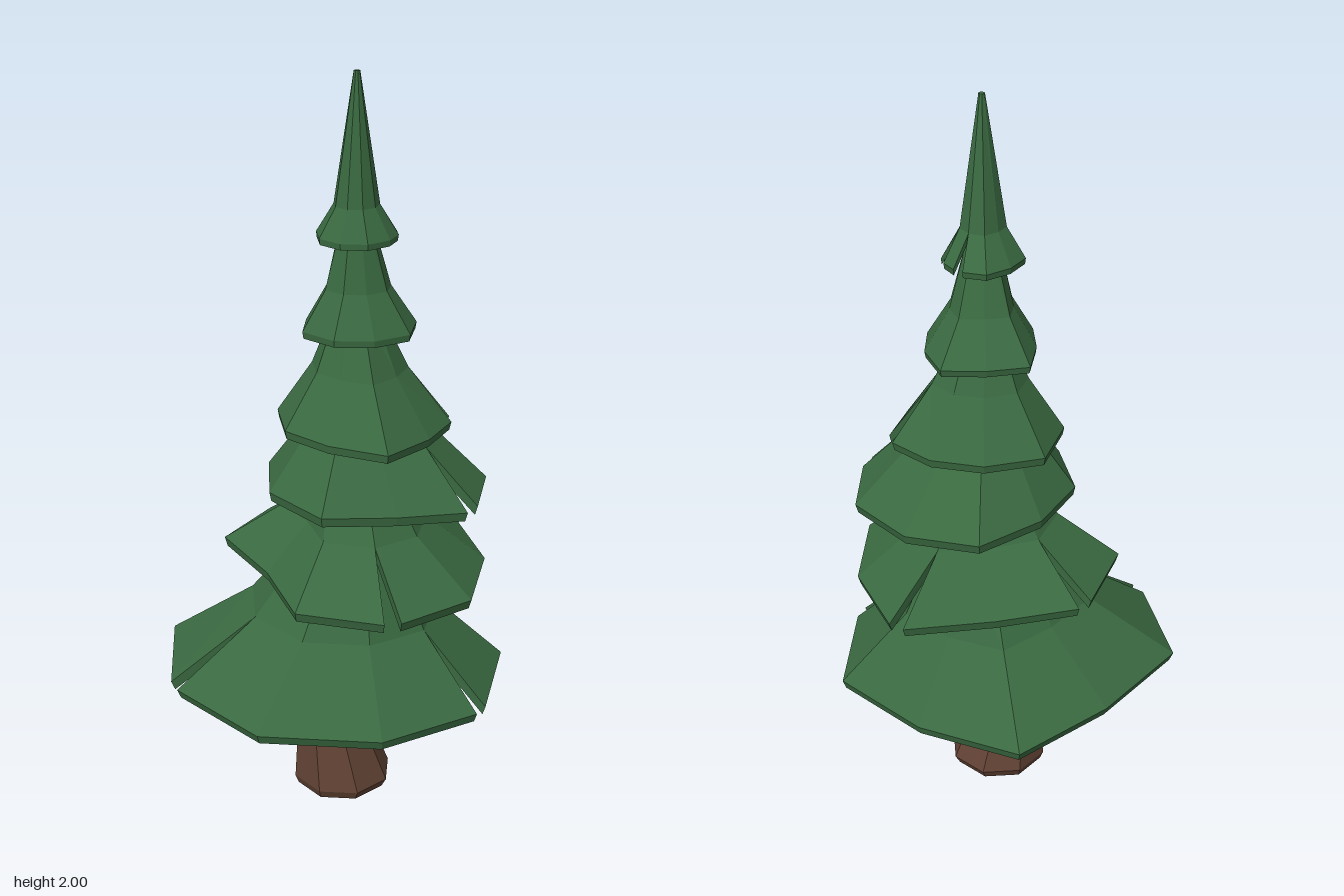
import * as THREE from 'three';

const foliage = new THREE.MeshStandardMaterial({ color: 0x3a6a41 });
foliage.name = 'pine green';
const bark = new THREE.MeshStandardMaterial({ color: 0x624335 });
bark.name = 'bark brown';

const lerp = THREE.MathUtils.lerp;

// Collects triangles and quads into a faceted geometry
function facets() {
  const pos = [];
  const tri = (a, b, c) => pos.push(...a, ...b, ...c);
  return {
    tri,
    quad(a, b, c, d) { tri(a, b, c); tri(a, c, d); },
    build() {
      const g = new THREE.BufferGeometry();
      g.setAttribute('position', new THREE.Float32BufferAttribute(pos, 3));
      g.computeVertexNormals();
      return g;
    },
  };
}

// All bough layers hang from this vertical axis
const axisX = 0.055, axisZ = 0.03;

// A thick, kinked skirt of boughs. Its rim corners are spread evenly round (x, z)
// at the given radii, starting at the back; corners listed in slits are torn open.
function skirt({ x, z, y, tilt, radii, slits, gap, top, topRadius, knee: [f, h], thick }) {
  const cols = [];
  const column = (i, shift, torn) => {
    const angle = i / radii.length * Math.PI * 2;
    const corner = t => [x + Math.sin(t) * radii[i], z - Math.cos(t) * radii[i]];
    const [mx, mz] = corner(angle);
    const [rx, rz] = corner(angle + shift);
    const height = px => y + tilt * px + thick;
    const outer = [
      [rx, height(rx), rz],
      [lerp(axisX, mx, f), lerp(height(mx), top, h), lerp(axisZ, mz, f)],
      [axisX + Math.sin(angle) * topRadius, top, axisZ - Math.cos(angle) * topRadius],
    ];
    const under = outer.map(([px, py, pz], k) => {
      const s = k === 0 ? 0.98 : 0.93;
      return [lerp(axisX, px, s), py - thick, lerp(axisZ, pz, s)];
    });
    cols.push({ outer, under, torn });
  };
  radii.forEach((r, i) => {
    if (slits.includes(i)) {
      column(i, -gap / r / 2, true);
      column(i, gap / r / 2, false);
    } else column(i, 0, false);
  });

  const out = facets();
  const tip = [axisX, top, axisZ], tipUnder = [axisX, top - thick, axisZ];
  cols.forEach(({ outer: a, under: ua, torn }, i) => {
    const { outer: b, under: ub } = cols[(i + 1) % cols.length];
    if (torn) {
      // Cut faces on both sides of the slit
      out.quad(a[0], a[1], ua[1], ua[0]);
      out.quad(b[1], b[0], ub[0], ub[1]);
      return;
    }
    for (let k = 0; k < 2; k++) {
      out.quad(a[k], a[k + 1], b[k + 1], b[k]);
      out.quad(ua[k], ub[k], ub[k + 1], ua[k + 1]);
    }
    out.tri(a[2], tip, b[2]);
    out.tri(ua[2], ub[2], tipUnder);
    out.quad(a[0], b[0], ub[0], ua[0]);
  });
  return out.build();
}

// Leaning eight-sided trunk from rings of [x, y, z, radius]
function trunkGeometry(rings, sides = 8) {
  const pts = rings.map(([x, y, z, r]) => Array.from({ length: sides }, (_, i) => {
    const t = (i + 0.5) / sides * Math.PI * 2;
    return [x + Math.sin(t) * r * 1.04, y, z + Math.cos(t) * r * 1.04];
  }));
  const out = facets();
  const [x, y, z] = rings[0];
  for (let i = 0; i < sides; i++) {
    const j = (i + 1) % sides;
    out.tri([x, y, z], pts[0][j], pts[0][i]);
    for (let k = 0; k < pts.length - 1; k++)
      out.quad(pts[k][i], pts[k][j], pts[k + 1][j], pts[k + 1][i]);
  }
  return out.build();
}

export function createModel() {
  const tree = new THREE.Group();
  tree.name = 'pineTree';
  const add = (name, geometry, material) => {
    const mesh = new THREE.Mesh(geometry, material);
    mesh.name = name;
    tree.add(mesh);
  };

  add('trunk', trunkGeometry([
    [0.02, 0, 0.02, 0.122], [0.022, 0.025, 0.02, 0.133], [-0.015, 0.25, 0.03, 0.083],
    [-0.018, 0.36, 0.035, 0.07], [0.03, 0.65, 0.03, 0.055], [0.06, 1.0, 0.03, 0.042],
    [0.06, 1.4, 0.03, 0.02]]), bark);

  // Bough layers from the ground up
  add('lowestBoughs', skirt({
    x: 0, z: 0, y: 0.358, tilt: -0.045, slits: [3, 6], gap: 0.045,
    radii: [0.45, 0.4, 0.468, 0.47, 0.455, 0.475, 0.475, 0.47, 0.385],
    top: 0.8, topRadius: 0.11, knee: [0.55, 0.42], thick: 0.025,
  }), foliage);
  add('secondBoughs', skirt({
    x: 0.05, z: 0.03, y: 0.675, tilt: -0.05, slits: [1, 4, 8], gap: 0.045,
    radii: [0.32, 0.4, 0.36, 0.37, 0.37, 0.355, 0.25, 0.36, 0.37],
    top: 1.02, topRadius: 0.07, knee: [0.54, 0.4], thick: 0.025,
  }), foliage);
  add('thirdBoughs', skirt({
    x: 0.09, z: 0.01, y: 0.908, tilt: -0.04, slits: [3], gap: 0.05,
    radii: [0.295, 0.29, 0.315, 0.32, 0.255, 0.295, 0.285, 0.275, 0.26],
    top: 1.22, topRadius: 0.07, knee: [0.6, 0.48], thick: 0.025,
  }), foliage);
  add('fourthBoughs', skirt({
    x: 0.07, z: 0.03, y: 1.08, tilt: -0.03, slits: [2], gap: 0.04,
    radii: [0.21, 0.21, 0.235, 0.21, 0.243, 0.2, 0.215, 0.225, 0.245],
    top: 1.43, topRadius: 0.045, knee: [0.55, 0.44], thick: 0.022,
  }), foliage);
  add('fifthBoughs', skirt({
    x: 0.06, z: 0, y: 1.335, tilt: 0, slits: [], gap: 0,
    radii: [0.145, 0.175, 0.15, 0.157, 0.145, 0.15, 0.157, 0.138, 0.172],
    top: 1.67, topRadius: 0.03, knee: [0.57, 0.33], thick: 0.018,
  }), foliage);
  add('crownTip', skirt({
    x: 0.055, z: 0.01, y: 1.575, tilt: 0, slits: [1, 2], gap: 0.028,
    radii: [0.11, 0.106, 0.105, 0.1, 0.1, 0.1, 0.103, 0.105, 0.097],
    top: 2, topRadius: 0.008, knee: [0.56, 0.19], thick: 0.016,
  }), foliage);
  return tree;
}
